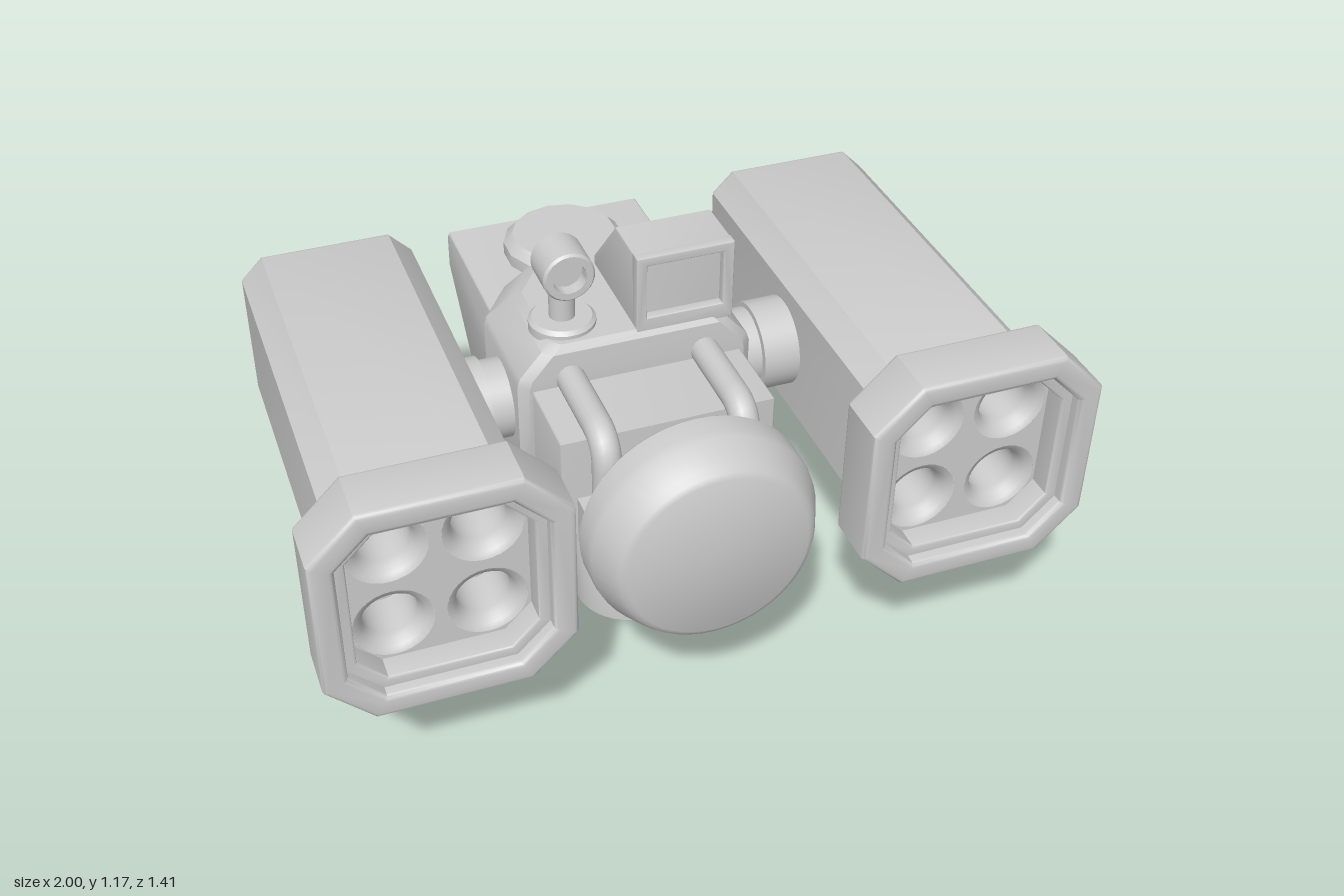
import * as THREE from 'three';
import { toCreasedNormals } from 'three/addons/utils/BufferGeometryUtils.js';
import { RoundedBoxGeometry } from 'three/addons/geometries/RoundedBoxGeometry.js';

const grey = new THREE.MeshStandardMaterial({ color: 0xcccccc });
const greyDouble = new THREE.MeshStandardMaterial({ color: 0xcccccc, side: THREE.DoubleSide });
const CX = -0.028; // centre line of the turret

function add(parent, name, geometry, x = 0, y = 0, z = 0, material = grey) {
  const mesh = new THREE.Mesh(geometry, material);
  mesh.name = name;
  mesh.position.set(x, y, z);
  parent.add(mesh);
  return mesh;
}

const polygon = (pts) => new THREE.Shape(pts.map(([x, y]) => new THREE.Vector2(x, y)));

// Square of half size h with cut corners c
const octagon = (h, c) => polygon([
  [h, c - h], [h, h - c], [h - c, h], [c - h, h],
  [-h, h - c], [-h, c - h], [c - h, -h], [h - c, -h],
]);

// Extrusion from z0 to z1 whose bevel stays inside the given outline
function extrude(shape, z0, z1, bevel = 0.015) {
  const g = new THREE.ExtrudeGeometry(shape, {
    depth: z1 - z0 - 2 * bevel, bevelEnabled: bevel > 0, bevelSize: bevel,
    bevelThickness: bevel, bevelOffset: -bevel, bevelSegments: 3, curveSegments: 24,
  });
  g.translate(0, 0, z0 + bevel);
  return toCreasedNormals(g, 0.6);
}

function frame(outer, outerCut, inner, innerCut, z0, z1, bevel) {
  const s = octagon(outer, outerCut);
  s.holes.push(octagon(inner, innerCut));
  return extrude(s, z0, z1, bevel);
}

// Turned part; points are [radius, height]; axis 'y' or 'z'
function turned(pts, axis = 'y', sides = 40) {
  const g = new THREE.LatheGeometry(pts.map(([r, h]) => new THREE.Vector2(r, h)), sides);
  if (axis === 'z') g.rotateX(Math.PI / 2);
  return toCreasedNormals(g, 0.6);
}

// Side profile given as [z, y], extruded across x
function sideProfile(pts, width, bevel) {
  const g = extrude(polygon(pts.map(([z, y]) => [-z, y])), -width / 2, width / 2, bevel);
  return g.rotateY(Math.PI / 2);
}

function createPod() {
  const pod = new THREE.Group();
  add(pod, 'podBody', frame(0.236, 0.06, 0.185, 0.03, -0.57, 0.525, 0.015), 0, -0.005, 0);
  add(pod, 'podBackPanel', new THREE.BoxGeometry(0.4, 0.4, 0.02), 0, -0.005, -0.545);
  add(pod, 'podHead', frame(0.3125, 0.118, 0.25, 0.085, 0.52, 0.68, 0.014));
  add(pod, 'podInnerFrame', frame(0.27, 0.1, 0.222, 0.07, 0.522, 0.645, 0.006));
  // Face plate with four flared barrels
  const plate = octagon(0.255, 0.09);
  const spots = [[-1, -1], [1, -1], [1, 1], [-1, 1]].map((p) => p.map((v) => v * 0.115));
  for (const [x, y] of spots) {
    plate.holes.push(new THREE.Path().absarc(x, y, 0.1, 0, Math.PI * 2, true));
    const barrel = turned([[0, 0.42], [0.068, 0.42], [0.068, 0.535], [0.073, 0.555], [0.084, 0.572], [0.1, 0.58]], 'z', 32);
    add(pod, 'launchBarrel', barrel, x, y, 0, greyDouble);
  }
  add(pod, 'podFacePlate', new THREE.ShapeGeometry(plate, 32), 0, 0, 0.58);
  return pod;
}

// Turret block lofted from footprints at rising heights
function turretBlock() {
  const levels = [ // [y, half width, back z, front z]
    [0.475, 0.316, -0.32, 0.125], [0.485, 0.318, -0.32, 0.13], [0.815, 0.318, -0.32, 0.13],
    [0.84, 0.31, -0.318, 0.13], [0.905, 0.25, -0.29, 0.125], [0.925, 0.225, -0.27, 0.11],
  ];
  const pos = [];
  const index = [];
  for (const [y, w, b, f] of levels) {
    const ring = [[w - 0.025, f], [w, f - 0.025], [w, b + 0.12], [w - 0.085, b]];
    const loop = [...ring, ...ring.slice().reverse().map(([x, z]) => [-x, z])];
    for (const [x, z] of loop) pos.push(x, y, z);
  }
  for (let l = 0; l < levels.length - 1; l++) {
    for (let i = 0; i < 8; i++) {
      const a = l * 8 + i, b = l * 8 + (i + 1) % 8;
      index.push(a, b, b + 8, a, b + 8, a + 8);
    }
  }
  const top = (levels.length - 1) * 8;
  for (let i = 1; i < 7; i++) index.push(top, top + i, top + i + 1, 0, i + 1, i);
  const g = new THREE.BufferGeometry();
  g.setAttribute('position', new THREE.Float32BufferAttribute(pos, 3));
  g.setIndex(index);
  return toCreasedNormals(g, 0.5);
}

export function createModel() {
  const model = new THREE.Group();
  model.name = 'launcherTurret';

  // Pedestal
  add(model, 'pedestal', turned([[0, 0], [0.155, 0], [0.155, 0.225], [0.148, 0.238], [0.115, 0.28], [0.108, 0.285], [0, 0.285]]), CX, 0, 0.052);
  add(model, 'post', new THREE.CylinderGeometry(0.088, 0.088, 0.25, 32), CX, 0.38, 0.052);

  // Central hull and turret
  add(model, 'hull', sideProfile([[-0.705, 0.69], [-0.705, 0.785], [-0.685, 0.81], [0.36, 0.81], [0.36, 0.48], [-0.495, 0.48]], 0.57, 0.006), CX, 0, 0);
  add(model, 'turret', turretBlock(), CX, 0, 0);
  add(model, 'rearHatch', turned([[0, 0], [0.17, 0], [0.17, 0.035], [0.145, 0.06], [0, 0.06]], 'y', 14), CX, 0.81, -0.49);

  // Front block, bracket and dish
  add(model, 'frontBlock', new THREE.BoxGeometry(0.49, 0.14, 0.14), CX, 0.56, 0.42);
  for (const s of [-1, 1]) {
    add(model, 'dishBracketArm', new THREE.BoxGeometry(0.035, 0.16, 0.19), CX + s * 0.105, 0.645, 0.435);
    // Hoses bending down from the turret to the front block
    const path = new THREE.CurvePath();
    const x = CX + s * 0.183;
    const v = (y, z) => new THREE.Vector3(x, y, z);
    path.add(new THREE.LineCurve3(v(0.83, 0.1), v(0.83, 0.33)));
    path.add(new THREE.QuadraticBezierCurve3(v(0.83, 0.33), v(0.83, 0.41), v(0.75, 0.41)));
    path.add(new THREE.LineCurve3(v(0.75, 0.41), v(0.6, 0.41)));
    add(model, 'hose', new THREE.TubeGeometry(path, 40, 0.038, 16));
  }
  add(model, 'dishHub', new THREE.CylinderGeometry(0.055, 0.055, 0.18, 24).rotateX(Math.PI / 2), CX, 0.645, 0.45);
  add(model, 'dish', turned([[0, 0.535], [0.25, 0.535], [0.265, 0.52], [0.29, 0.52], [0.297, 0.53], [0.297, 0.585],
    [0.293, 0.61], [0.262, 0.675], [0.25, 0.692], [0.235, 0.7], [0, 0.703]], 'z', 48), CX, 0.645, 0);

  // Trunnions and launcher pods on both sides
  for (const s of [-1, 1]) {
    const axle = (r, len) => new THREE.CylinderGeometry(r, r, len, 32).rotateZ(Math.PI / 2);
    add(model, 'trunnion', axle(0.108, 0.14), CX + s * 0.34, 0.69, -0.035);
    add(model, 'trunnionCollar', axle(0.124, 0.1), CX + s * 0.427, 0.69, -0.03);
    const pod = createPod();
    pod.name = s > 0 ? 'leftPod' : 'rightPod';
    pod.position.set(s * 0.6875, 0.6875, 0);
    model.add(pod);
  }

  // Sight box: wedge housing with a framed, recessed window
  const sight = new THREE.Group();
  sight.name = 'sightBox';
  sight.position.x = 0.104;
  model.add(sight);
  add(sight, 'sightHousing', sideProfile([[0.09, 0.91], [0.09, 1.135], [-0.05, 1.135], [-0.222, 0.95], [-0.222, 0.91]], 0.262, 0.004));
  const rim = polygon([[-0.131, 0.91], [0.131, 0.91], [0.131, 1.135], [-0.131, 1.135]]);
  rim.holes.push(polygon([[-0.103, 0.955], [0.103, 0.955], [0.103, 1.11], [-0.103, 1.11]]));
  add(sight, 'sightRim', extrude(rim, 0.08, 0.115, 0.003));

  // Small camera on a stalk
  const camera = new THREE.Group();
  camera.name = 'camera';
  camera.position.set(-0.193, 0, 0.01);
  model.add(camera);
  add(camera, 'cameraFlange', turned([[0, 0.91], [0.088, 0.91], [0.088, 0.935], [0.078, 0.945], [0, 0.945]]));
  add(camera, 'cameraStalk', new THREE.CylinderGeometry(0.034, 0.034, 0.14, 24), 0, 0.99, 0);
  add(camera, 'cameraHead', turned([[0, -0.06], [0.045, -0.06], [0.068, -0.035], [0.068, 0.07], [0.062, 0.077],
    [0.044, 0.077], [0.042, 0.045], [0, 0.045]], 'z', 32), 0, 1.1, 0);
  return model;
}
